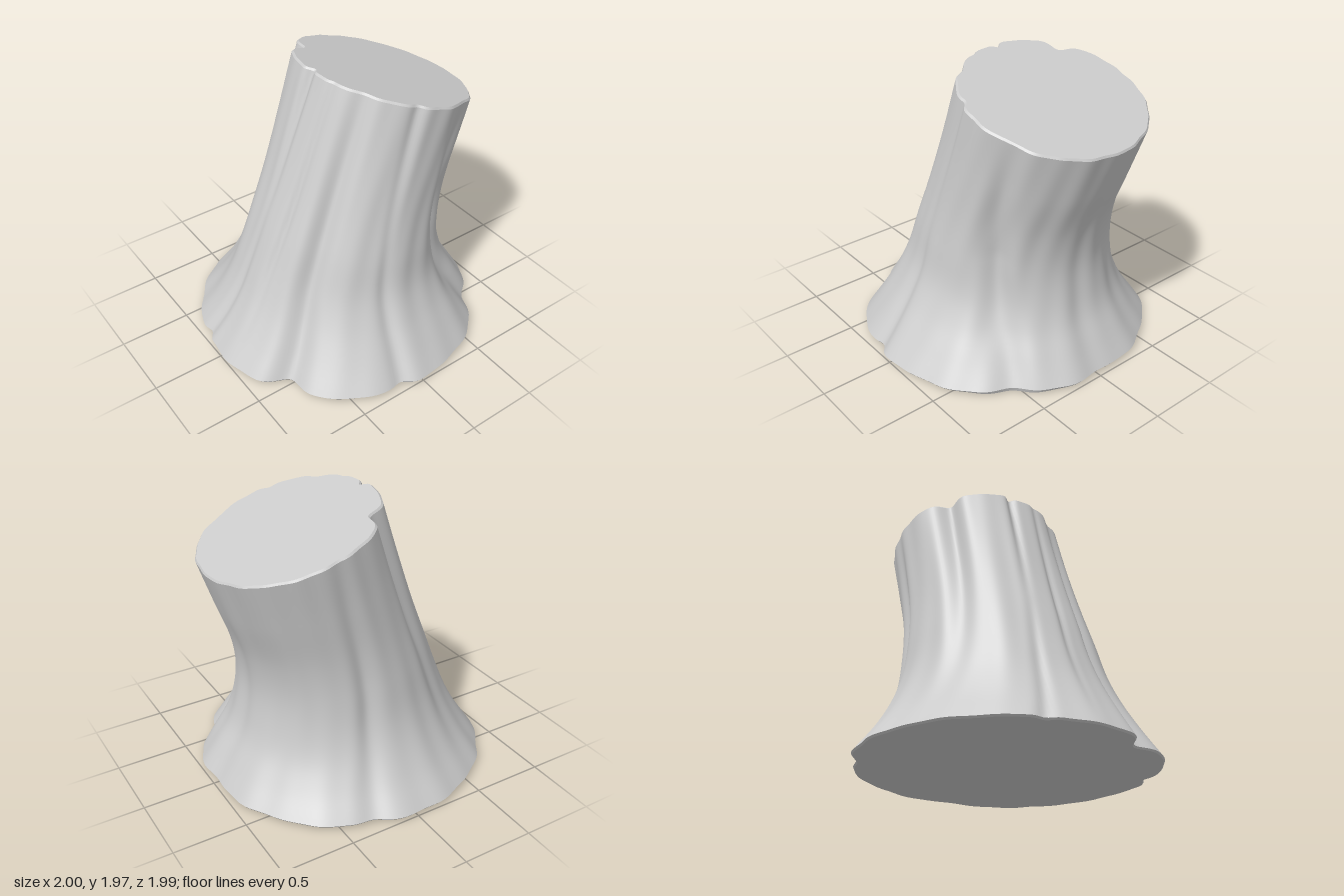
import * as THREE from 'three';

const SEGS = 240, ROWS = 44, DEG = Math.PI / 180;

// Trunk sections from base to cut: height fraction, then left, right, front and back extents
const stations = [0, 0.1, 0.2, 0.3, 0.45, 0.6, 0.8, 1];
const extents = [
  -1, 1, 1, -1,
  -0.87, 0.88, 0.87, -0.9,
  -0.775, 0.77, 0.76, -0.81,
  -0.715, 0.69, 0.675, -0.76,
  -0.675, 0.64, 0.56, -0.73,
  -0.655, 0.6, 0.445, -0.76,
  -0.66, 0.57, 0.305, -0.87,
  -0.68, 0.555, 0.17, -0.98,
];
const section = new THREE.CubicInterpolant(stations, extents, 4, new Float32Array(4));

// Bark grooves: angle at base and top (0 = front, 90 = +x), depth at base, middle and top, width
const grooves = [
  [-13, 1, 0.04, 0.015, 0.07, 3],
  [6, 20, 0, 0.035, 0.015, 2.5],
  [34, 40, 0.12, 0.1, 0.03, 7],
  [81, 73, 0.04, 0.02, 0.04, 4],
  [144, 112, 0.07, 0.11, 0.03, 9],
  [180, 178, 0.03, 0.01, 0, 8],
  [-108, -90, 0.05, 0.05, 0.02, 6],
  [-49, -43, 0, 0.06, 0.13, 8],
];

// Angle between two directions, wrapped to -180..180
const angleGap = (a, b) => ((a - b + 540) % 360 + 360) % 360 - 180;

// Relative radius of the bark at an angle and height fraction
function barkRadius(deg, t) {
  let r = 1 + 0.005 * Math.sin(deg * DEG * 13 + 3 * t) + 0.004 * Math.sin(deg * DEG * 22 - 4 * t);
  for (const [a0, a1, d0, dm, d1, width] of grooves) {
    const depth = t < 0.5
      ? THREE.MathUtils.lerp(d0, dm, t * 2)
      : THREE.MathUtils.lerp(dm, d1, t * 2 - 1);
    const gap = angleGap(deg, THREE.MathUtils.lerp(a0, a1, t)) / width;
    r -= depth * Math.exp(-gap * gap);
  }
  return r;
}

// One closed ring of points, lying in a plane that tilts more towards the top
function ring(t, scale = 1, lift = () => 0) {
  const [left, right, front, back] = section.evaluate(t);
  const points = [];
  for (let j = 0; j < SEGS; j++) {
    const deg = (j / SEGS) * 360, r = barkRadius(deg, t) * scale;
    const c = Math.cos(deg * DEG) * r, s = Math.sin(deg * DEG) * r;
    points.push(new THREE.Vector3(
      (left + right) / 2 + (right - left) / 2 * s,
      0.03 + t * (1.755 + 0.185 * c) + lift(deg),
      (front + back) / 2 + (front - back) / 2 * c,
    ));
  }
  return points;
}

// Skin a stack of rings, ordered from bottom to top
function loft(rings) {
  const index = [];
  for (let i = 0; i < rings.length - 1; i++) {
    for (let j = 0; j < SEGS; j++) {
      const k = (j + 1) % SEGS, a = i * SEGS, b = a + SEGS;
      index.push(a + j, a + k, b + k, a + j, b + k, b + j);
    }
  }
  return finish(rings.flat(), index);
}

// Fill a ring with a fan of triangles
function cap(points, facesUp) {
  const centre = new THREE.Vector3();
  points.forEach((p) => centre.addScaledVector(p, 1 / SEGS));
  const index = [];
  for (let j = 0; j < SEGS; j++) {
    const k = (j + 1) % SEGS;
    if (facesUp) index.push(SEGS, j, k);
    else index.push(SEGS, k, j);
  }
  return finish([...points, centre], index);
}

function finish(points, index) {
  const geometry = new THREE.BufferGeometry().setFromPoints(points);
  geometry.setIndex(index);
  geometry.computeVertexNormals();
  return geometry;
}

export function createModel() {
  const group = new THREE.Group();
  group.name = 'treeStump';
  const material = new THREE.MeshStandardMaterial({ color: 0xcccccc });
  const add = (name, geometry) => {
    const mesh = new THREE.Mesh(geometry, material);
    mesh.name = name;
    group.add(mesh);
  };

  // Flared, leaning trunk with bark grooves
  const rings = [];
  for (let i = 0; i <= ROWS; i++) rings.push(ring(0.993 * i / ROWS));
  add('bark', loft(rings));

  // Slightly rounded rim and slanted cut face
  const topEdge = ring(1, 0.982);
  add('cutRim', loft([rings[ROWS], topEdge]));
  add('cutFace', cap(topEdge, true));

  // Thin base edge, sagging a little at the back left
  const sag = (deg) => -0.012 - 0.018 * Math.exp(-((angleGap(deg, 145) / 14) ** 2));
  const baseEdge = ring(0, 0.99, sag);
  add('baseRim', loft([baseEdge, rings[0]]));
  add('underside', cap(baseEdge, false));

  return group;
}
